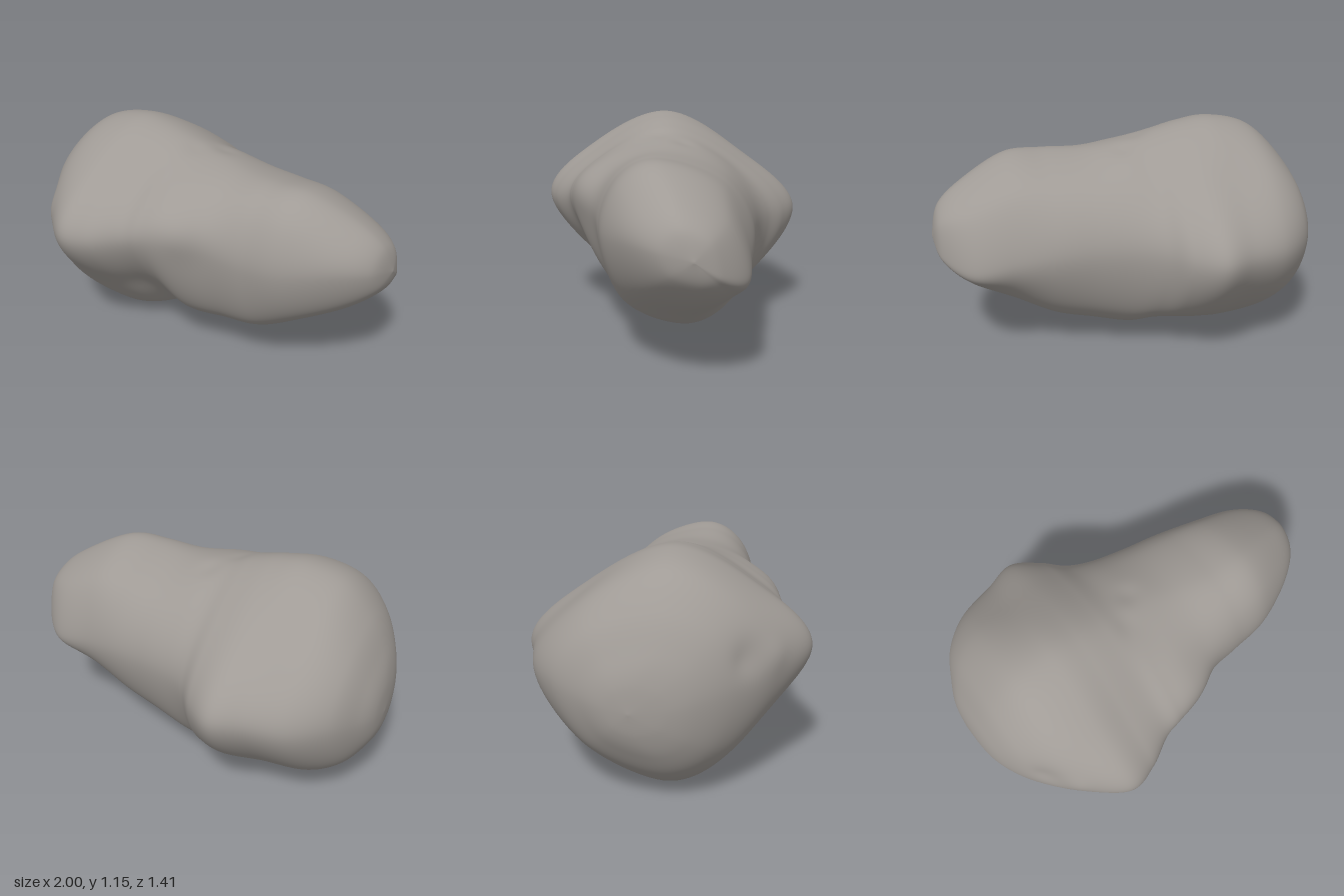
import * as THREE from 'three';
import { mergeVertices } from 'three/addons/utils/BufferGeometryUtils.js';

// Stations along the rock: x, top y z, bottom y z, front z y, back z y
const STATIONS = [
  [-1, .53, -.09, .53, -.09, -.09, .53, -.09, .53],
  [-.985, .67, -.06, .41, -.06, .09, .55, -.21, .55],
  [-.94, .80, 0, .29, 0, .23, .58, -.32, .57],
  [-.85, .96, .02, .155, .03, .38, .62, -.47, .60],
  [-.7, 1.10, .03, .04, .05, .55, .66, -.59, .60],
  [-.5, 1.15, .03, 0, .06, .70, .68, -.65, .61],
  [-.34, 1.135, .03, .04, .05, .665, .68, -.70, .61],
  [-.2, 1.10, .03, .09, 0, .585, .70, -.62, .61],
  [-.1, 1.07, .03, .11, -.05, .56, .72, -.52, .62],
  [.02, 1.045, .02, .09, -.05, .525, .73, -.455, .62],
  [.2, 1.02, .06, .125, -.05, .43, .70, -.41, .62],
  [.4, 1.02, .10, .17, -.04, .395, .66, -.38, .61],
  [.6, 1.015, .09, .28, -.04, .365, .67, -.34, .58],
  [.82, .91, .03, .41, -.05, .255, .70, -.30, .54],
  [.96, .80, 0, .54, -.06, .12, .69, -.17, .59],
  [1, .66, -.04, .66, -.04, -.04, .66, -.04, .66],
];

// Fullness of the four corners at each station:
// top front, top back, bottom back, bottom front (.5 straight, .7 round)
const FULLNESS = [
  [.72, .72, .72, .72],
  [.72, .72, .72, .72],
  [.72, .71, .71, .72],
  [.71, .68, .69, .70],
  [.67, .64, .65, .65],
  [.62, .60, .63, .57],
  [.61, .595, .65, .58],
  [.63, .61, .69, .60],
  [.66, .63, .72, .63],
  [.69, .66, .72, .68],
  [.71, .69, .71, .72],
  [.72, .70, .69, .73],
  [.72, .70, .68, .72],
  [.71, .69, .69, .71],
  [.71, .71, .71, .71],
  [.71, .71, .71, .71],
];

// Soft dents (positive) and bumps (negative): x, y, z, radius, depth
const DENTS = [
  [-.80, .74, .42, .08, .025],
  [-.70, .72, .53, .07, -.012],
  [-.25, .36, .42, .12, .012],
  [.12, .78, .48, .11, -.02],
  [0, 1.02, -.04, .06, .01],
  [-.1, 1.04, .08, .06, .008],
];

// Smooth interpolation of a table's rows at t from 0 to 1
function sample(rows, t) {
  const n = rows.length - 1;
  const f = Math.min(t * n, n - 1e-9), i = Math.floor(f), u = f - i;
  const at = (k) => rows[Math.max(0, Math.min(n, k))];
  const [a, b, c, d] = [at(i - 1), at(i), at(i + 1), at(i + 2)];
  return b.map((v, k) => v + 0.5 * u * (c[k] - a[k]
    + u * (2 * a[k] - 5 * v + 4 * c[k] - d[k] + u * (3 * (v - c[k]) + d[k] - a[k]))));
}

// Closed cross-section curve through four extremes and four corners
function sectionCurve(t) {
  const [x, yt, zt, yb, zb, zf, yf, zk, yk] = sample(STATIONS, t);
  const [tf, tb, bb, bf] = sample(FULLNESS, t);
  const point = (y, z) => new THREE.Vector3(x, y, z);
  const corner = (py, pz, sy, sz, f) => point(sy + f * (py - sy), pz + f * (sz - pz));
  return new THREE.CatmullRomCurve3([
    point(yf, zf), corner(yt, zt, yf, zf, tf),
    point(yt, zt), corner(yt, zt, yk, zk, tb),
    point(yk, zk), corner(yb, zb, yk, zk, bb),
    point(yb, zb), corner(yb, zb, yf, zf, bf),
  ], true, 'catmullrom', 0.5);
}

// Push a point toward or away from the long axis
function dent(p) {
  const inward = new THREE.Vector3(0, .6 - p.y, -p.z).normalize();
  let push = 0;
  for (const [x, y, z, r, depth] of DENTS) {
    const d2 = (p.x - x) ** 2 + (p.y - y) ** 2 + (p.z - z) ** 2;
    push += depth * Math.exp(-d2 / (r * r));
  }
  return p.addScaledVector(inward, push);
}

// Skin the cross-sections into one closed smooth surface
function rockGeometry(rings, sides) {
  const pos = [], index = [];
  for (let i = 0; i <= rings; i++) {
    const curve = sectionCurve(i / rings);
    for (let j = 0; j < sides; j++) {
      pos.push(...dent(curve.getPoint(j / sides)).toArray());
      if (i === rings) continue;
      const a = i * sides + j, c = i * sides + (j + 1) % sides;
      const b = a + sides, d = c + sides;
      if (i < rings - 1) index.push(a, b, d);
      if (i > 0) index.push(a, d, c);
    }
  }
  const g = new THREE.BufferGeometry();
  g.setAttribute('position', new THREE.Float32BufferAttribute(pos, 3));
  g.setIndex(index);
  const merged = mergeVertices(g, 1e-5);
  merged.computeVertexNormals();
  return merged;
}

export function createModel() {
  const group = new THREE.Group();
  group.name = 'asteroid';
  const rock = new THREE.Mesh(rockGeometry(150, 120),
    new THREE.MeshStandardMaterial({ color: 0xa09b96 }));
  rock.name = 'rockBody';
  group.add(rock);
  return group;
}
